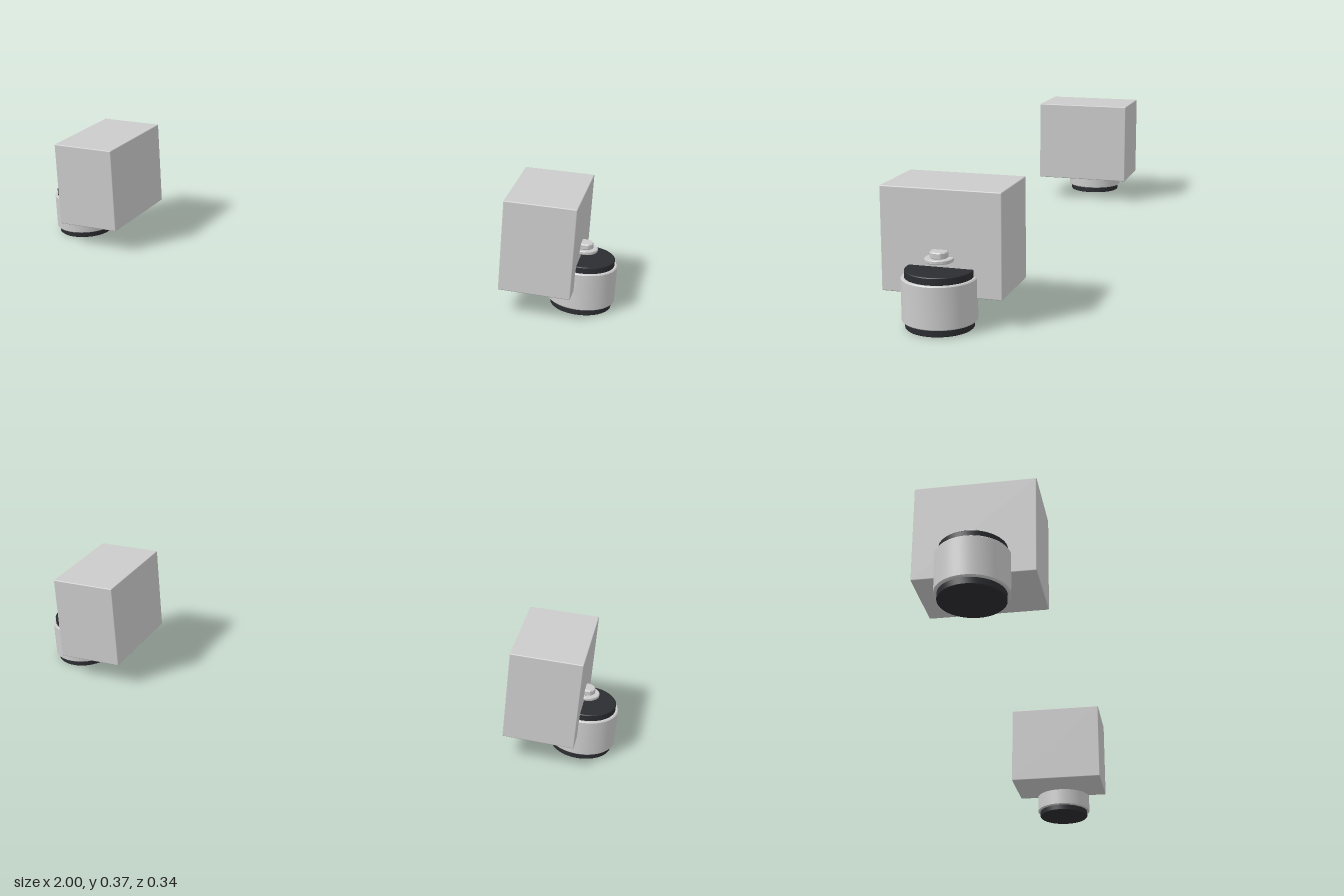
import * as THREE from 'three';
import { toCreasedNormals } from 'three/addons/utils/BufferGeometryUtils.js';
import { RoundedBoxGeometry } from 'three/addons/geometries/RoundedBoxGeometry.js';

const grey = new THREE.MeshStandardMaterial({ color: 0xcccccc });
const dark = new THREE.MeshStandardMaterial({ color: 0x2c2d31 });

// Closed disc from y0 to y1 with a small bevel on both rims
function disc(name, radius, y0, y1, bevel, material) {
  const profile = [
    [0, y0], [radius - bevel, y0], [radius, y0 + bevel],
    [radius, y1 - bevel], [radius - bevel, y1], [0, y1],
  ].map(([r, y]) => new THREE.Vector2(r, y));
  const geometry = toCreasedNormals(new THREE.LatheGeometry(profile, 48), 0.6);
  const mesh = new THREE.Mesh(geometry, material);
  mesh.name = name;
  return mesh;
}

// Round motor with dark end caps and a fastener above it
function createMotor() {
  const motor = new THREE.Group();
  motor.name = 'motor';
  motor.add(
    disc('bottomCap', 0.093, 0, 0.022, 0.002, dark),
    disc('motorShell', 0.102, 0.02, 0.14, 0.003, grey),
    disc('topCap', 0.093, 0.138, 0.16, 0.002, dark),
    disc('washer', 0.039, 0.179, 0.19, 0.002, grey),
    disc('shaftNut', 0.025, 0.189, 0.208, 0.003, grey),
  );
  return motor;
}

export function createModel() {
  const model = new THREE.Group();
  model.name = 'pairedMotorUnits';

  for (const side of [1, -1]) {
    const unit = new THREE.Group();
    unit.name = side > 0 ? 'leftUnit' : 'rightUnit';

    // Housing block on the inner side of the motor
    const housing = new THREE.Mesh(new RoundedBoxGeometry(0.22, 0.291, 0.341, 2, 0.003), grey);
    housing.name = 'housing';
    housing.position.set(side * 0.78 - 0.003, 0.2265, 0);

    const motor = createMotor();
    motor.position.x = side * 0.898;

    unit.add(housing, motor);
    model.add(unit);
  }
  return model;
}
